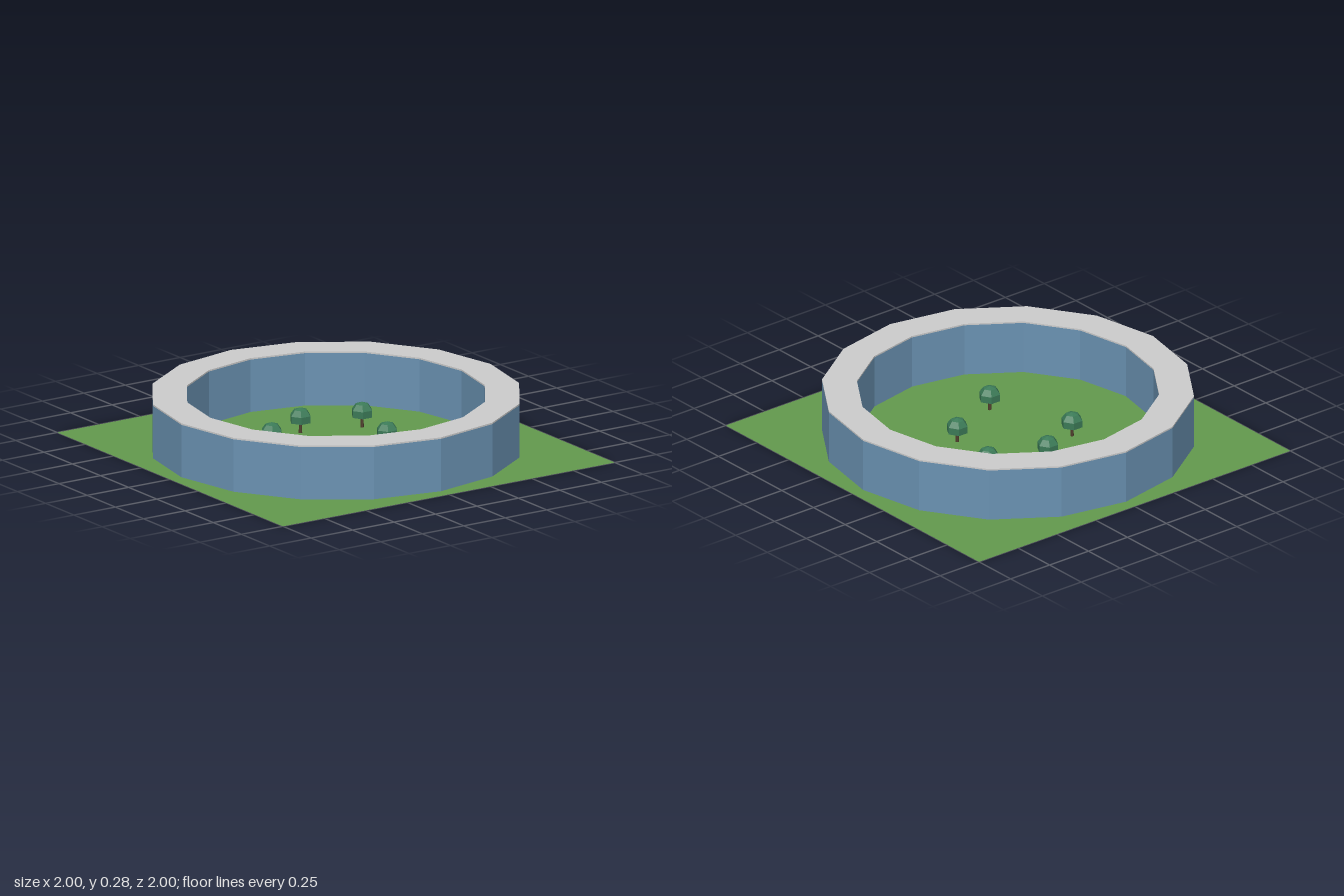
import * as THREE from 'three';

const mat = (name, color, extra = {}) => {
  const m = new THREE.MeshStandardMaterial({ color, flatShading: true, ...extra });
  m.name = name;
  return m;
};

const SIDES = 16, OUTER = 0.932, INNER = 0.757;

// Regular polygon points with corners on the axes
const ringPoints = (radius) => Array.from({ length: SIDES }, (_, i) => {
  const a = (i / SIDES) * Math.PI * 2;
  return new THREE.Vector2(Math.cos(a) * radius, Math.sin(a) * radius);
});

// Upright faceted ring standing on y = base
function ringGeometry(base, height) {
  const shape = new THREE.Shape(ringPoints(OUTER));
  shape.holes.push(new THREE.Path(ringPoints(INNER)));
  return new THREE.ExtrudeGeometry(shape, { depth: height, bevelEnabled: false })
    .rotateX(-Math.PI / 2)
    .translate(0, base, 0);
}

export function createModel() {
  const grass = mat('grass', 0x639a4d, { side: THREE.DoubleSide });
  const glass = mat('blue wall', 0x6a92b2);
  const roofGrey = mat('roof grey', 0xcccccc);
  const leaves = mat('leaves', 0x3b7a57, { side: THREE.DoubleSide });
  const bark = mat('bark', 0x4f3d2c);

  const model = new THREE.Group();
  model.name = 'ringBuilding';
  const add = (parent, name, geometry, material) => {
    const mesh = new THREE.Mesh(geometry, material);
    mesh.name = name;
    parent.add(mesh);
    return mesh;
  };

  // Lawn
  add(model, 'lawn', new THREE.PlaneGeometry(2, 2).rotateX(-Math.PI / 2), grass);

  // Ring building and its thin roof
  add(model, 'ringWall', ringGeometry(0, 0.272), glass);
  add(model, 'ringRoof', ringGeometry(0.272, 0.008), roofGrey);

  // Courtyard trees: thin trunk and a six-sided domed crown
  const trunkGeometry = new THREE.CylinderGeometry(0.007, 0.009, 0.075, 6).translate(0, 0.0375, 0);
  const crownGeometry = new THREE.SphereGeometry(0.058, 6, 3, 0, Math.PI * 2, 0, Math.PI * 0.6)
    .translate(0, 0.074, 0);
  const spots = [[0, -0.315], [0.31, -0.225], [-0.265, -0.18], [0.22, 0.13], [-0.135, 0.31]];
  for (const [x, z] of spots) {
    const tree = new THREE.Group();
    tree.name = 'tree';
    add(tree, 'trunk', trunkGeometry, bark);
    add(tree, 'crown', crownGeometry, leaves);
    tree.position.set(x, 0, z);
    model.add(tree);
  }
  return model;
}
